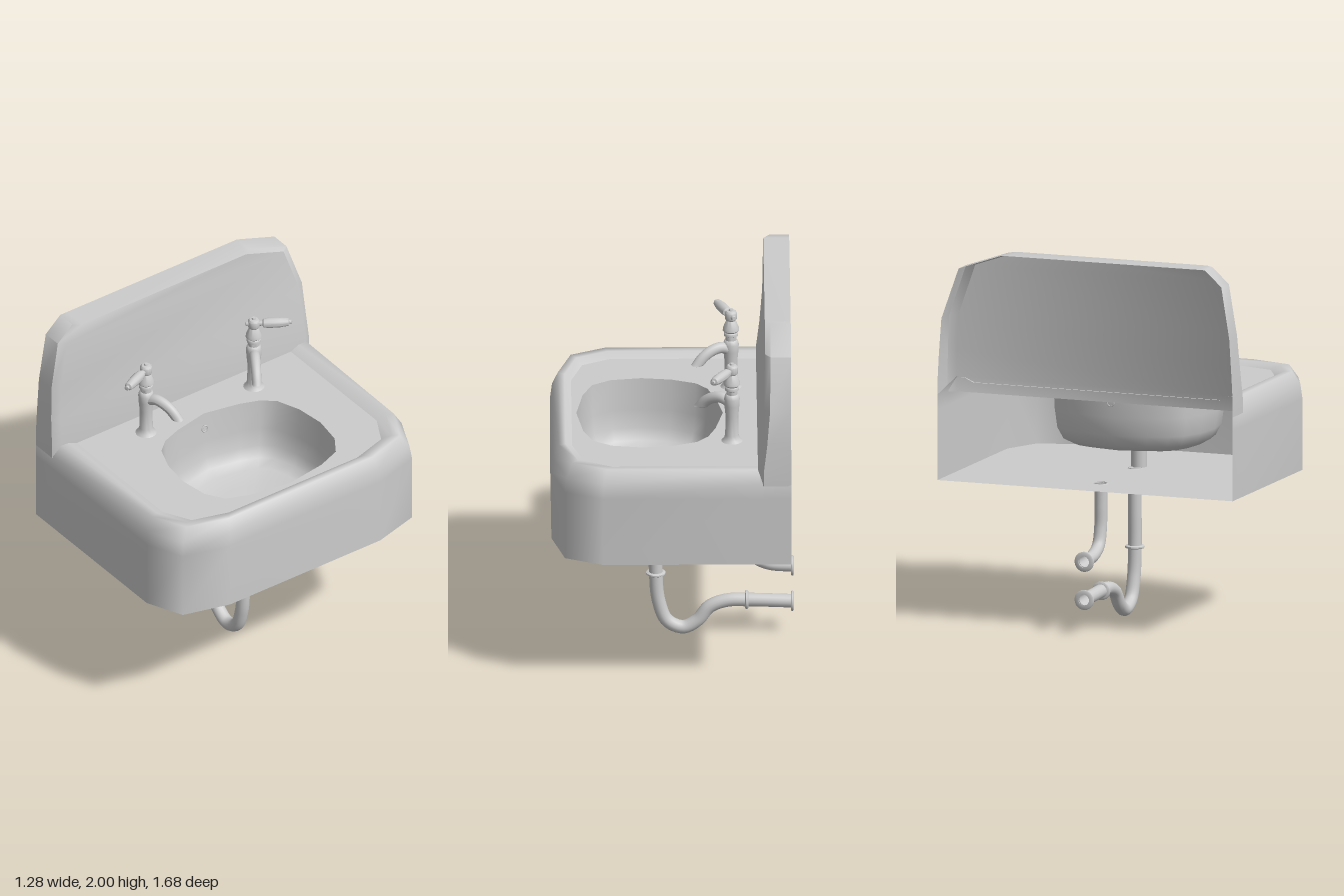
import * as THREE from 'three';
import { toCreasedNormals } from 'three/addons/utils/BufferGeometryUtils.js';

const material = new THREE.MeshStandardMaterial({ color: 0xcccccc, side: THREE.DoubleSide });

function add(parent, name, geometry, x = 0, y = 0, z = 0) {
  const mesh = new THREE.Mesh(geometry, material);
  mesh.name = name;
  mesh.position.set(x, y, z);
  parent.add(mesh);
  return mesh;
}

// Skin over a stack of rings, each a list of [x, y, z]
function loft(rings, closed = false) {
  const n = rings[0].length, index = [];
  for (let i = 0; i < rings.length - 1; i++) {
    for (let j = 0; j < (closed ? n : n - 1); j++) {
      const k = (j + 1) % n;
      const a = i * n + j, b = i * n + k, c = b + n, d = a + n;
      index.push(a, b, c, a, c, d);
    }
  }
  const g = new THREE.BufferGeometry();
  g.setAttribute('position', new THREE.Float32BufferAttribute(rings.flat(2), 3));
  g.setIndex(index);
  g.computeVertexNormals();
  return g;
}

const mirrorZ = half => [...half, ...half.map(([x, z]) => [x, -z]).reverse()];
const atHeight = (outline, y) => outline.map(([x, z]) => [x, y, z]);
const shapeOf = outline => new THREE.Shape(outline.map(([x, z]) => new THREE.Vector2(x, z)));
const lathe = (profile, sides = 20) =>
  toCreasedNormals(new THREE.LatheGeometry(profile.map(p => new THREE.Vector2(...p)), sides), 0.7);

function tube(points, radius, segments = 40) {
  const path = new THREE.CatmullRomCurve3(points.map(([x, y]) => new THREE.Vector3(x, y, 0)));
  return new THREE.TubeGeometry(path, segments, radius, 16);
}

// Ring-shaped collar or wall flange
function collar(parent, name, x, y, radius, thickness, alongX) {
  const t = thickness / 2;
  const mesh = add(parent, name, lathe([[0.03, -t], [radius - 0.006, -t], [radius, -t / 2],
    [radius, t / 2], [radius - 0.006, t], [0.03, t]]), x, y);
  if (alongX) mesh.rotation.z = Math.PI / 2;
}

function makeBasin() {
  const basin = new THREE.Group();
  basin.name = 'basin';

  // Outer walls rolling over the rim down to the deck
  const wall = mirrorZ([[-0.625, 0.84], [-0.46, 0.84], [0.37, 0.84], [0.57, 0.75], [0.64, 0.49]]);
  const deck = mirrorZ([[-0.46, 0.7], [-0.46, 0.7], [0.32, 0.7], [0.47, 0.62], [0.53, 0.42]]);
  add(basin, 'wallsAndRim', loft([
    atHeight(wall, 0.77),
    atHeight(wall, 1.15),
    atHeight(mirrorZ([[-0.625, 0.84], [-0.46, 0.835], [0.365, 0.83], [0.56, 0.74], [0.63, 0.485]]), 1.23),
    atHeight(mirrorZ([[-0.46, 0.8], [-0.46, 0.8], [0.35, 0.79], [0.53, 0.7], [0.6, 0.47]]), 1.3),
    atHeight(mirrorZ([[-0.46, 0.75], [-0.46, 0.75], [0.335, 0.75], [0.5, 0.665], [0.565, 0.45]]), 1.298),
    atHeight(deck, 1.275),
  ]));

  // Deck with the bowl opening
  const half = [[-0.27, 0], [-0.23, 0.2], [-0.19, 0.31], [-0.13, 0.38], [0, 0.43], [0.16, 0.45],
    [0.32, 0.425], [0.42, 0.36], [0.47, 0.23], [0.505, 0]];
  const opening = [...half, ...half.slice(1, -1).map(([x, z]) => [x, -z]).reverse()];
  const deckShape = shapeOf(deck.slice(1, -1));
  deckShape.holes.push(shapeOf(opening));
  add(basin, 'deck', new THREE.ShapeGeometry(deckShape).rotateX(-Math.PI / 2), 0, 1.275);

  // Bowl narrowing to the round drain
  const drainX = 0.145;
  const scaled = s => opening.map(([x, z]) => [drainX + (x - drainX) * s, z * s]);
  const drain = opening.map(([x, z]) => {
    const d = 0.042 / Math.hypot(x - drainX, z);
    return [drainX + (x - drainX) * d, z * d];
  });
  const levels = [[1, 1.275], [0.98, 1.1], [0.95, 1], [0.88, 0.94], [0.76, 0.91], [0.45, 0.895]];
  add(basin, 'bowl', loft([...levels.map(([s, y]) => atHeight(scaled(s), y)), atHeight(drain, 0.88)], true));
  add(basin, 'drainSleeve', new THREE.CylinderGeometry(0.042, 0.042, 0.11, 18, 1, true), drainX, 0.825);
  add(basin, 'overflowRing', new THREE.TorusGeometry(0.018, 0.004, 6, 16).rotateY(Math.PI / 2), -0.262, 1.18);

  // Underside with the supply hole
  const floor = shapeOf(wall);
  floor.holes.push(new THREE.Path().absarc(-0.4, 0, 0.032, 0, Math.PI * 2, true));
  add(basin, 'underside', new THREE.ShapeGeometry(floor, 12).rotateX(Math.PI / 2), 0, 0.77);
  return basin;
}

// Hollow splashback, open at the rear; rows of [height, front x, left z, right z]
function makeSplashback() {
  const back = -0.625;
  const rows = [[1.22, -0.45, 0.84, -0.84], [1.3, -0.45, 0.84, -0.84], [1.45, -0.468, 0.832, -0.832],
    [1.64, -0.483, 0.82, -0.818], [1.915, -0.487, 0.775, -0.72], [2, -0.488, 0.68, -0.475]];
  const rings = rows.map(([y, x, l, r]) => [[back, y, l], [x - 0.03, y, l], [x, y, l - 0.04],
    [x, y, r + 0.04], [x - 0.03, y, r], [back, y, r]]);
  rings.push(rings.at(-1).map(([, y, z]) => [back, y, z]));
  return toCreasedNormals(loft(rings), 0.85);
}

// Tap with its spout along +x and its lever along z
function makeTap(name, leverSide) {
  const tap = new THREE.Group();
  tap.name = name;
  add(tap, 'stem', lathe([[0.06, 1.272], [0.045, 1.285], [0.036, 1.31], [0.034, 1.42], [0.04, 1.48],
    [0.042, 1.52], [0.036, 1.54], [0.03, 1.545], [0.03, 1.565], [0.038, 1.57], [0.038, 1.585],
    [0.034, 1.59], [0.044, 1.6], [0.042, 1.615], [0.024, 1.66], [0.02, 1.665], [0.02, 1.68]]));
  add(tap, 'hub', lathe([[0, 1.655], [0.024, 1.655], [0.032, 1.665], [0.032, 1.7], [0.024, 1.71],
    [0.012, 1.712], [0.01, 1.722], [0, 1.724]], 12));

  // Spout, slightly flattened towards its mouth
  const spout = tube([[0, 1.485], [0.06, 1.508], [0.11, 1.498], [0.16, 1.468], [0.205, 1.415]], 0.03, 20);
  const p = spout.attributes.position;
  for (let i = 0; i < p.count; i++) {
    const k = Math.max(0, p.getX(i)) / 0.2;
    p.setZ(i, p.getZ(i) * (1 - 0.15 * k));
    p.setY(i, Math.max(p.getY(i), 1.43));
  }
  spout.computeVertexNormals();
  add(tap, 'spout', spout);

  const lever = add(tap, 'lever', lathe([[0, -0.045], [0.01, -0.043], [0.014, -0.03], [0.014, 0.045],
    [0.024, 0.05], [0.028, 0.08], [0.027, 0.14], [0.021, 0.183], [0.012, 0.187], [0.012, 0.2], [0, 0.204]], 14), 0, 1.682);
  lever.rotation.x = leverSide * Math.PI / 2;
  return tap;
}

function makePipes() {
  const pipes = new THREE.Group();
  pipes.name = 'pipes';
  // Waste trap
  add(pipes, 'wasteTrap', tube([[0.085, 0.775], [0.085, 0.55], [0.085, 0.35], [0.07, 0.19], [0.025, 0.075],
    [-0.06, 0.037], [-0.135, 0.077], [-0.2, 0.155], [-0.29, 0.19], [-0.4, 0.193], [-0.64, 0.185]], 0.036, 80));
  collar(pipes, 'trapCollar', 0.085, 0.35, 0.052, 0.016, false);
  collar(pipes, 'wasteCollar', -0.395, 0.193, 0.05, 0.018, true);
  collar(pipes, 'wasteFlange', -0.637, 0.185, 0.054, 0.016, true);
  // Supply bend
  add(pipes, 'supplyPipe', tube([[-0.4, 0.775], [-0.4, 0.65], [-0.405, 0.53], [-0.435, 0.445], [-0.51, 0.403],
    [-0.64, 0.39]], 0.034));
  collar(pipes, 'supplyFlange', -0.637, 0.39, 0.054, 0.016, true);
  for (const x of [0.085, -0.4]) collar(pipes, 'topCollar', x, 0.766, 0.042, 0.012, false);
  return pipes;
}

export function createModel() {
  const model = new THREE.Group();
  model.name = 'wallSink';
  model.add(makeBasin(), makePipes());
  add(model, 'splashback', makeSplashback());

  const leftTap = makeTap('nearTap', 1);
  leftTap.position.set(-0.315, 0, 0.345);
  leftTap.rotation.y = 0.4;
  const rightTap = makeTap('farTap', -1);
  rightTap.position.set(-0.315, 0, -0.36);
  rightTap.rotation.y = -0.55;
  model.add(leftTap, rightTap);
  return model;
}
